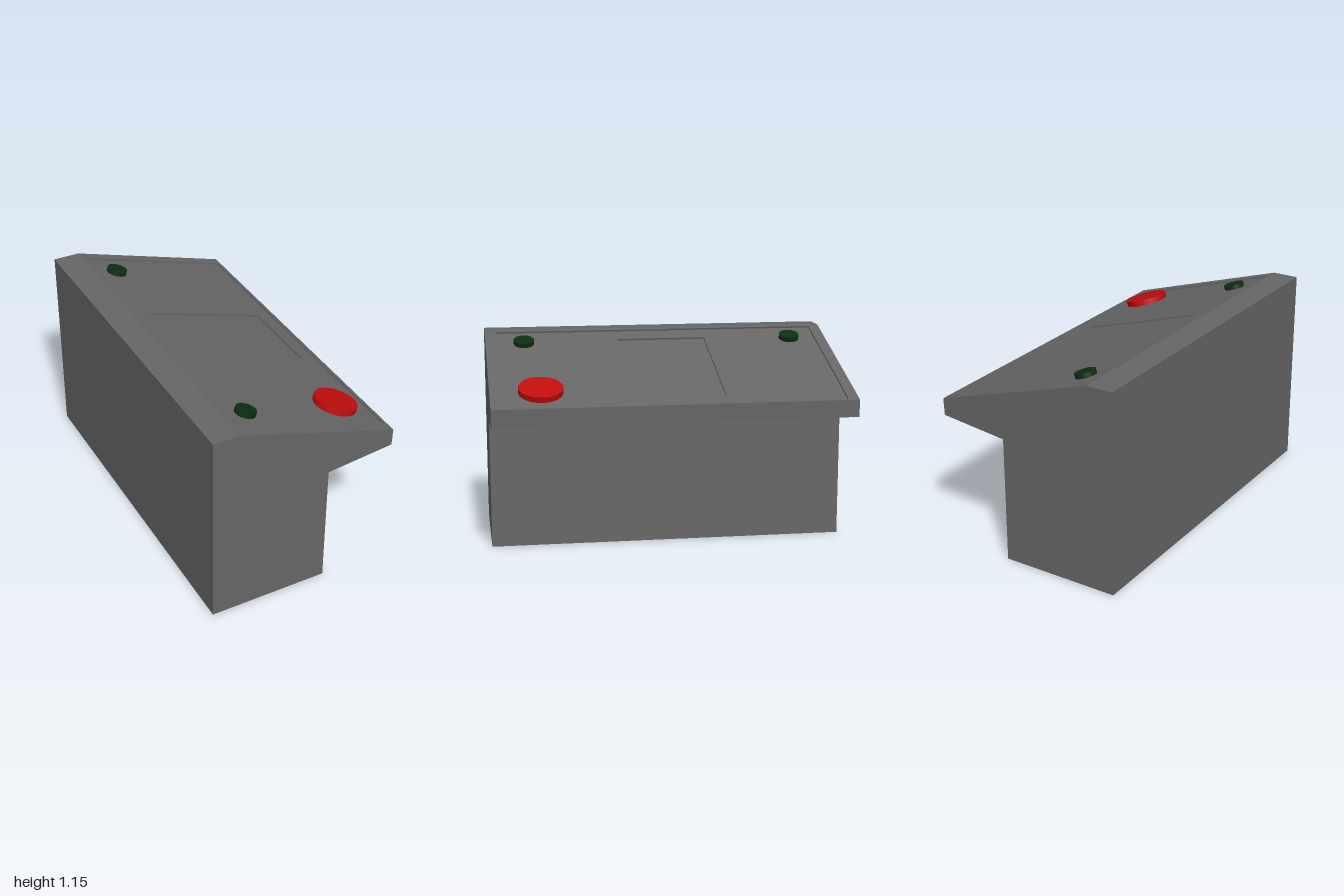
import * as THREE from 'three';

export function createModel() {
  const model = new THREE.Group();
  const paint = (name, color) => {
    const m = new THREE.MeshStandardMaterial({ color });
    m.name = name;
    return m;
  };
  const grey = paint('console grey', 0x666666);
  const red = paint('button red', 0xc00d0d);
  const green = paint('button dark green', 0x0d2e12);

  const add = (parent, name, geometry, material) => {
    const mesh = new THREE.Mesh(geometry, material);
    mesh.name = name;
    parent.add(mesh);
    return mesh;
  };

  // Sloped desk top: u runs down the slope, n is height above it
  const top = [-0.39, 1.152], lip = [0.535, 0.86];
  const angle = Math.atan2(top[1] - lip[1], lip[0] - top[0]);
  const cos = Math.cos(angle), sin = Math.sin(angle);
  const onSlope = (u, n) => [top[0] + u * cos + n * sin, top[1] - u * sin + n * cos];
  const uAt = (x) => (x - top[0]) / cos;

  const step = 0.01;
  const u0 = uAt(-0.372), u1 = uAt(0.518);

  // Cabinet side profile, with a shallow notch for the panel layers
  const profile = [
    [-0.54, 0], [0.143, 0], [0.143, 0.72], [0.531, 0.763], lip,
    onSlope(u1, 0), onSlope(u1, -2 * step), onSlope(u0, -2 * step), onSlope(u0, 0),
    top, [-0.54, 1.152],
  ].map(([x, y]) => new THREE.Vector2(x, y));
  const cabinet = new THREE.ExtrudeGeometry(new THREE.Shape(profile), { depth: 2, bevelEnabled: false });
  cabinet.translate(0, 0, -1);
  add(model, 'cabinet', cabinet, grey);

  const desk = new THREE.Group();
  desk.name = 'slopedDesk';
  desk.position.set(top[0], top[1], 0);
  desk.rotation.z = -angle;
  model.add(desk);

  // Rectangle in slope coordinates (shape y is -z)
  const rect = (Type, a, b, zBack, zFront) => new Type([
    new THREE.Vector2(a, -zFront), new THREE.Vector2(b, -zFront),
    new THREE.Vector2(b, -zBack), new THREE.Vector2(a, -zBack),
  ]);
  const plate = (name, shape, base) => {
    const g = new THREE.ExtrudeGeometry(shape, { depth: step, bevelEnabled: false });
    g.rotateX(-Math.PI / 2);
    g.translate(0, base, 0);
    add(desk, name, g, grey);
  };

  // Recessed panel with a deeper screen opening
  const panel = rect(THREE.Shape, u0, u1, -1, 1);
  panel.holes.push(rect(THREE.Path, uAt(-0.272), uAt(0.435), -0.28, 0.233));
  plate('controlPanel', panel, -2 * step);

  // Raised rims at both ends of the panel
  plate('rightRim', rect(THREE.Shape, u0, u1, -1, -0.94), -step);
  plate('leftRim', rect(THREE.Shape, u0, u1, 0.938, 1), -step);

  // Round buttons rising from the panel
  const button = (name, x, z, radius, height, material) => {
    const g = new THREE.CylinderGeometry(radius, radius, height + step, 32);
    add(desk, name, g, material).position.set(uAt(x), (height - step) / 2, z);
  };
  button('mainButton', 0.34, 0.723, 0.122, 0.022, red);
  button('frontSmallButton', -0.238, 0.78, 0.058, 0.016, green);
  button('backSmallButton', -0.238, -0.785, 0.058, 0.016, green);

  return model;
}
